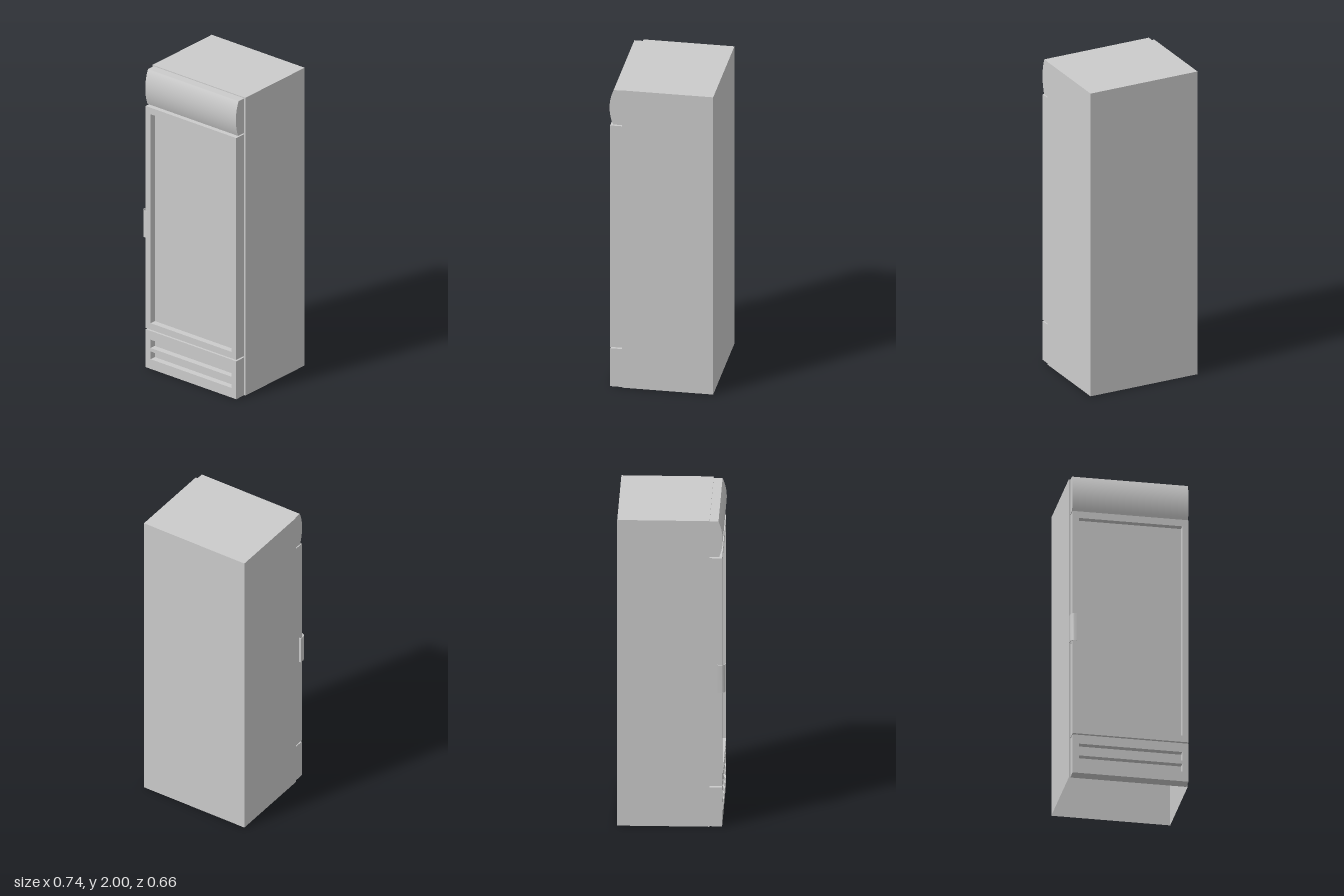
import * as THREE from 'three';
import { toCreasedNormals } from 'three/addons/utils/BufferGeometryUtils.js';

const CX = 0.0025;                 // centre of the cabinet across x
const BODY_W = 0.736, BACK = -0.33, FRONT = 0.232;
const PANEL_W = 0.718, FACE = 0.308, RECESS = 0.268;
const OPEN_W = 0.64;               // width of window and vents
const grey = new THREE.MeshStandardMaterial({ color: 0xcccccc, side: THREE.DoubleSide });

function add(parent, name, geometry, x = 0, y = 0, z = 0) {
  const mesh = new THREE.Mesh(geometry, grey);
  mesh.name = name;
  mesh.position.set(x, y, z);
  parent.add(mesh);
  return mesh;
}

// Rectangle across the cabinet from y0 to y1, as a shape or a hole
function rect(Type, w, y0, y1) {
  return new Type([[-w / 2, y0], [w / 2, y0], [w / 2, y1], [-w / 2, y1]]
    .map(([x, y]) => new THREE.Vector2(x, y)));
}

function rectWithHoles(w, y0, y1, holes) {
  const shape = rect(THREE.Shape, w, y0, y1);
  for (const [a, b] of holes) shape.holes.push(rect(THREE.Path, OPEN_W, a, b));
  return shape;
}

// Box without some faces (0 +x, 1 -x, 2 +y, 3 -y, 4 +z, 5 -z)
function openBox(w, h, d, skip) {
  const box = new THREE.BoxGeometry(w, h, d);
  const index = Array.from(box.index.array);
  box.setIndex(index.filter((_, i) => !skip.includes(Math.floor(i / 6))));
  box.clearGroups();
  return box;
}

// Front panel with recessed openings
function frontPanel(parent, name, y0, y1, holes, insertName) {
  const group = new THREE.Group();
  group.name = name;
  parent.add(group);
  const frame = new THREE.ExtrudeGeometry(rectWithHoles(PANEL_W, y0, y1, holes),
    { depth: FACE - FRONT, bevelEnabled: false });
  add(group, name + 'Frame', frame, CX, 0, FRONT);
  for (const [a, b] of holes) {
    add(group, insertName, new THREE.PlaneGeometry(OPEN_W, b - a), CX, (a + b) / 2, RECESS);
  }
}

export function createModel() {
  const model = new THREE.Group();
  model.name = 'displayFridge';

  // Cabinet shell, open underneath, with a front wall around the liner
  const depth = FRONT - BACK;
  const liner = [0.295, 1.71];
  add(model, 'cabinetShell', openBox(BODY_W, 2, depth, [3, 4]), CX, 1, (FRONT + BACK) / 2);
  add(model, 'cabinetFront',
    new THREE.ShapeGeometry(rectWithHoles(BODY_W, 0, 2, [liner])), CX, 0, FRONT);

  // Inner liner, open to the door
  const linerDepth = depth - 0.045;
  add(model, 'innerLiner', openBox(OPEN_W, liner[1] - liner[0], linerDepth, [4]),
    CX, (liner[0] + liner[1]) / 2, FRONT - linerDepth / 2);

  // Door with window, and base grille with two vents
  frontPanel(model, 'door', 0.264, 1.754, [[0.307, 1.71]], 'windowPane');
  frontPanel(model, 'baseGrille', 0, 0.255, [[0.065, 0.117], [0.14, 0.196]], 'ventBack');

  // Bulging header, profile in (z, y) extruded across x
  const profile = new THREE.Shape();
  profile.moveTo(FRONT, 1.762);
  profile.lineTo(0.29, 1.762);
  profile.quadraticCurveTo(0.335, 1.88, 0.286, 1.994);
  profile.lineTo(FRONT, 1.994);
  profile.closePath();
  const header = new THREE.ExtrudeGeometry(profile,
    { depth: PANEL_W, bevelEnabled: false, curveSegments: 20 });
  header.rotateY(-Math.PI / 2);
  add(model, 'header', toCreasedNormals(header, 0.5), CX + PANEL_W / 2);

  // Thin hooked door handle, section in (x, z) extruded along y
  const t = 0.003;
  const hook = new THREE.Shape();
  hook.moveTo(-0.355, 0.276);
  hook.lineTo(-0.371, 0.276);
  hook.lineTo(-0.371, 0.302);
  hook.bezierCurveTo(-0.371, 0.32, -0.36, 0.328, -0.334, 0.328);
  hook.lineTo(-0.334, 0.328 - t);
  hook.bezierCurveTo(-0.358, 0.328 - t, -0.371 + t, 0.318, -0.371 + t, 0.302);
  hook.lineTo(-0.371 + t, 0.276 + t);
  hook.lineTo(-0.355, 0.276 + t);
  hook.closePath();
  const handle = new THREE.ExtrudeGeometry(hook,
    { depth: 0.18, bevelEnabled: false, curveSegments: 10 });
  handle.rotateX(Math.PI / 2);
  add(model, 'doorHandle', toCreasedNormals(handle, 0.6), 0, 1.06, 0);

  return model;
}
